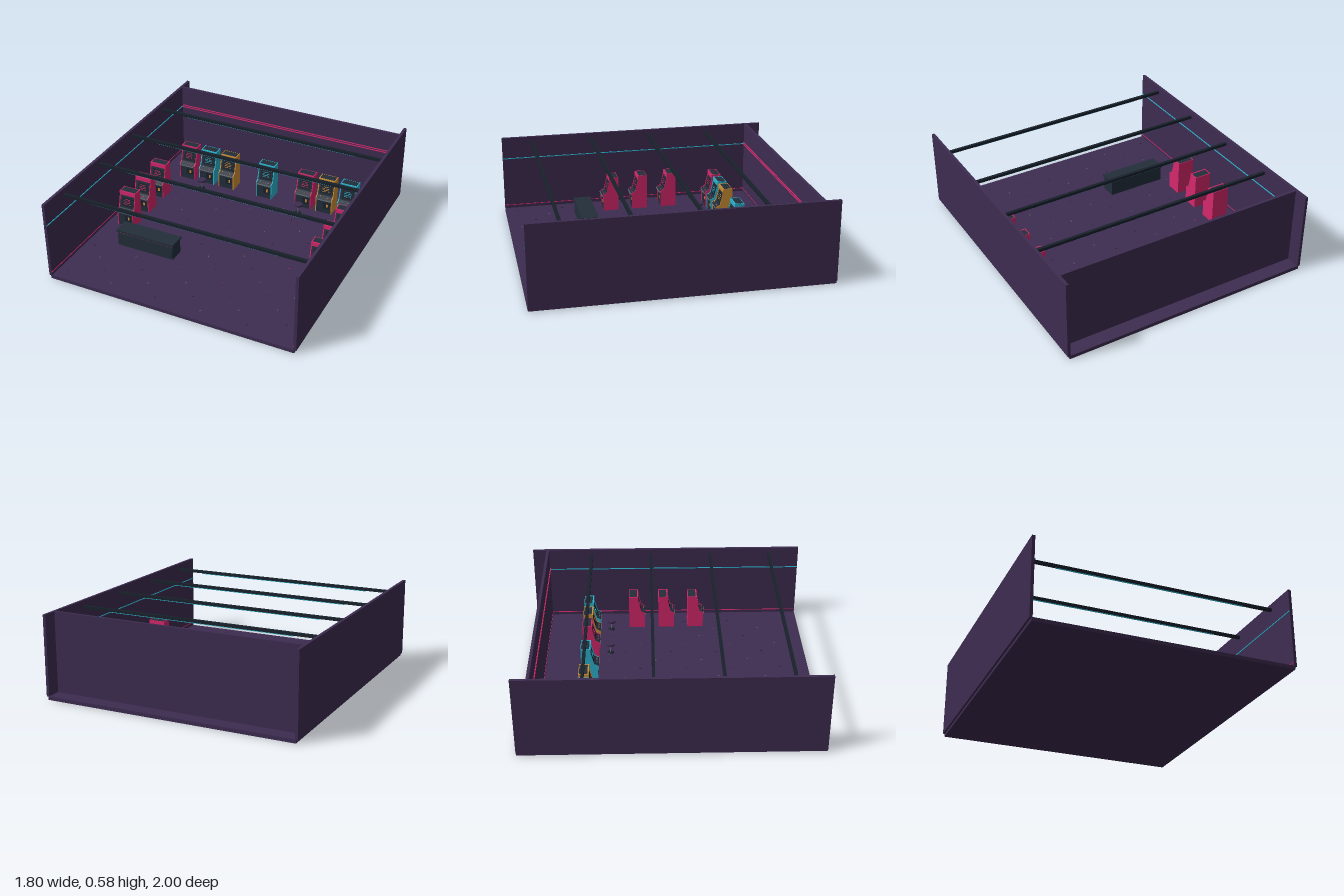
import * as THREE from 'three';
import { mergeGeometries } from 'three/addons/utils/BufferGeometryUtils.js';

const mat = (name, color) => Object.assign(new THREE.MeshStandardMaterial({ color }), { name });
const M = {
  purple: mat('wall purple', 0x3d2c50),
  slate: mat('dark slate', 0x222e3a),
  dark: mat('beam black', 0x18212b),
  pink: mat('neon pink', 0xd6286c),
  cyan: mat('neon cyan', 0x2cb4d0),
  orange: mat('amber', 0xcf8f35),
  grey: mat('metal grey', 0x6c757c),
};
const FLOOR = 0.025;

function add(parent, name, geometry, material, x = 0, y = 0, z = 0, rx = 0) {
  const mesh = new THREE.Mesh(geometry, material);
  mesh.name = name;
  mesh.position.set(x, y, z);
  mesh.rotation.x = rx;
  parent.add(mesh);
  return mesh;
}
const box = (parent, name, material, w, h, d, x, y, z, rx = 0) =>
  add(parent, name, new THREE.BoxGeometry(w, h, d), material, x, y, z, rx);

// Extrudes a (z, y) side profile across x, centred on x = 0
function sideProfile(points, width) {
  const shape = new THREE.Shape(points.map(([z, y]) => new THREE.Vector2(z, y)));
  const geo = new THREE.ExtrudeGeometry(shape, { depth: width, bevelEnabled: false });
  return geo.rotateY(-Math.PI / 2).translate(width / 2, 0, 0);
}

const sideGeo = sideProfile([[-0.062, 0], [0.055, 0], [0.055, 0.112], [0.06, 0.118],
  [0.03, 0.134], [0.008, 0.225], [0.008, 0.257], [-0.062, 0.257]], 0.006);
const coreGeo = sideProfile([[-0.058, 0], [0.05, 0], [0.05, 0.114],
  [0.025, 0.128], [0.0, 0.223], [0.0, 0.255], [-0.058, 0.255]], 0.114);

// Upright game machine facing +z
function cabinet(color, x, z) {
  const g = new THREE.Group();
  g.name = 'arcadeCabinet';
  g.position.set(x, FLOOR, z);
  add(g, 'cabinetCore', coreGeo, M.slate);
  for (const s of [-1, 1]) add(g, 'sidePanel', sideGeo, color, s * 0.06);
  box(g, 'backPanel', color, 0.114, 0.255, 0.004, 0, 0.1275, -0.06);
  box(g, 'marquee', color, 0.114, 0.03, 0.009, 0, 0.241, 0.003);

  // Tilted screen with a bezel and rows of glowing dashes
  const screen = new THREE.Group();
  screen.name = 'screen';
  screen.position.set(0, 0.176, 0.0125);
  screen.rotation.x = -0.257;
  g.add(screen);
  box(screen, 'bezel', M.slate, 0.1, 0.088, 0.004, 0, 0, 0.002);
  box(screen, 'glass', M.dark, 0.086, 0.072, 0.002, 0, 0, 0.004);
  [[0, 0.02, 0.04], [-0.018, 0.008, 0.022], [0.015, 0.008, 0.024],
    [0, -0.004, 0.05], [-0.012, -0.016, 0.03], [0.022, -0.016, 0.012]].forEach(([px, py, w]) =>
    box(screen, 'screenDash', color, w, 0.004, 0.001, px, py, 0.0055));

  // Control deck with stick and buttons
  const deck = new THREE.Group();
  deck.name = 'controlDeck';
  deck.position.set(0, 0.121, 0.042);
  deck.rotation.x = 0.45;
  g.add(deck);
  box(deck, 'deckPlate', M.slate, 0.114, 0.006, 0.038, 0, 0, 0);
  const button = new THREE.CylinderGeometry(0.003, 0.003, 0.004, 8);
  for (let i = 0; i < 3; i++) add(deck, 'button', button, i === 1 ? color : M.pink, 0.012 + i * 0.012, 0.005, 0.002);
  add(deck, 'stick', new THREE.CylinderGeometry(0.0015, 0.0015, 0.012, 6), M.grey, -0.028, 0.009, 0);
  add(deck, 'stickBall', new THREE.SphereGeometry(0.004, 8, 6), color, -0.028, 0.015, 0);
  box(g, 'deckLip', M.grey, 0.114, 0.008, 0.014, 0, 0.111, 0.056);

  box(g, 'coinDoor', M.dark, 0.05, 0.05, 0.001, 0.02, 0.063, 0.0505);
  box(g, 'coinSlot', M.orange, 0.014, 0.024, 0.003, 0.026, 0.064, 0.0515);
  return g;
}

function stool(x, z) {
  const g = new THREE.Group();
  g.name = 'stool';
  g.position.set(x, FLOOR, z);
  add(g, 'stoolFoot', new THREE.CylinderGeometry(0.022, 0.025, 0.005, 20), M.dark, 0, 0.0025);
  add(g, 'stoolPole', new THREE.CylinderGeometry(0.004, 0.004, 0.062, 10), M.grey, 0, 0.034);
  add(g, 'stoolSeat', new THREE.CylinderGeometry(0.031, 0.031, 0.014, 24), M.purple, 0, 0.07);
  return g;
}

export function createModel() {
  const room = new THREE.Group();
  room.name = 'arcadeRoom';

  // Shell
  box(room, 'floor', M.purple, 1.77, FLOOR, 2, 0, FLOOR / 2, 0);
  for (const s of [-1, 1]) {
    box(room, 'sideWall', M.purple, 0.02, 0.558, 2, s * 0.888, 0.301, 0);
    box(room, 'wallNeon', M.cyan, 0.005, 0.006, 1.88, s * 0.876, 0.42, 0.06);
    box(room, 'skirtingNeon', M.pink, 0.004, 0.004, 1.88, s * 0.8765, 0.05, 0.06);
  }
  box(room, 'backWall', M.purple, 1.756, 0.555, 0.02, 0, 0.3025, -0.89);
  for (const y of [0.415, 0.43]) box(room, 'backNeon', M.pink, 1.75, 0.006, 0.005, 0, y, -0.878);
  box(room, 'backSkirtingNeon', M.pink, 1.75, 0.003, 0.003, 0, 0.05, -0.879);

  // Ceiling beams with a light tube beneath
  for (let i = 0; i < 4; i++) {
    const z = -0.56 + i * 0.445;
    box(room, 'beam', M.dark, 1.756, 0.02, 0.02, 0, 0.535, z);
    box(room, 'beamTube', M.cyan, 1.34, 0.005, 0.006, 0, 0.521, z);
  }

  // Floor flecks on a regular staggered grid
  const flecks = { grey: [], dark: [], pink: [] };
  for (let i = -7; i <= 7; i++) {
    for (let j = -6; j <= 8; j++) {
      const k = (((i + 2 * j) % 6) + 6) % 6;
      if (k % 3) continue;
      const key = k === 0 ? 'grey' : 'dark';
      flecks[(i * j) % 7 === 3 ? 'pink' : key].push(
        new THREE.BoxGeometry(0.004, 0.002, 0.012).translate(i * 0.111 - 0.03, FLOOR + 0.001, j * 0.111 + 0.02));
    }
  }
  for (const [key, list] of Object.entries(flecks))
    if (list.length) add(room, 'floorFlecks', mergeGeometries(list), M[key]);

  // Back row of machines
  [[-0.645, 'pink'], [-0.48, 'cyan'], [-0.315, 'orange'], [-0.003, 'cyan'],
    [0.31, 'pink'], [0.475, 'orange'], [0.642, 'cyan']].forEach(([x, c]) => room.add(cabinet(M[c], x, -0.553)));

  // Machines along both side walls
  for (const x of [-0.735, 0.732])
    for (const z of [-0.222, 0, 0.22]) room.add(cabinet(M.pink, x, z));

  for (const x of [-0.48, 0.308, 0.642]) room.add(stool(x, -0.42));

  // Service counter
  box(room, 'counterBody', M.slate, 0.43, 0.11, 0.11, -0.447, 0.08, 0.44);
  box(room, 'counterTop', M.slate, 0.444, 0.014, 0.122, -0.447, 0.141, 0.44);
  box(room, 'counterPanel', M.slate, 0.41, 0.085, 0.004, -0.447, 0.078, 0.496);
  box(room, 'counterNeon', M.pink, 0.43, 0.002, 0.004, -0.447, 0.132, 0.497);
  return room;
}
